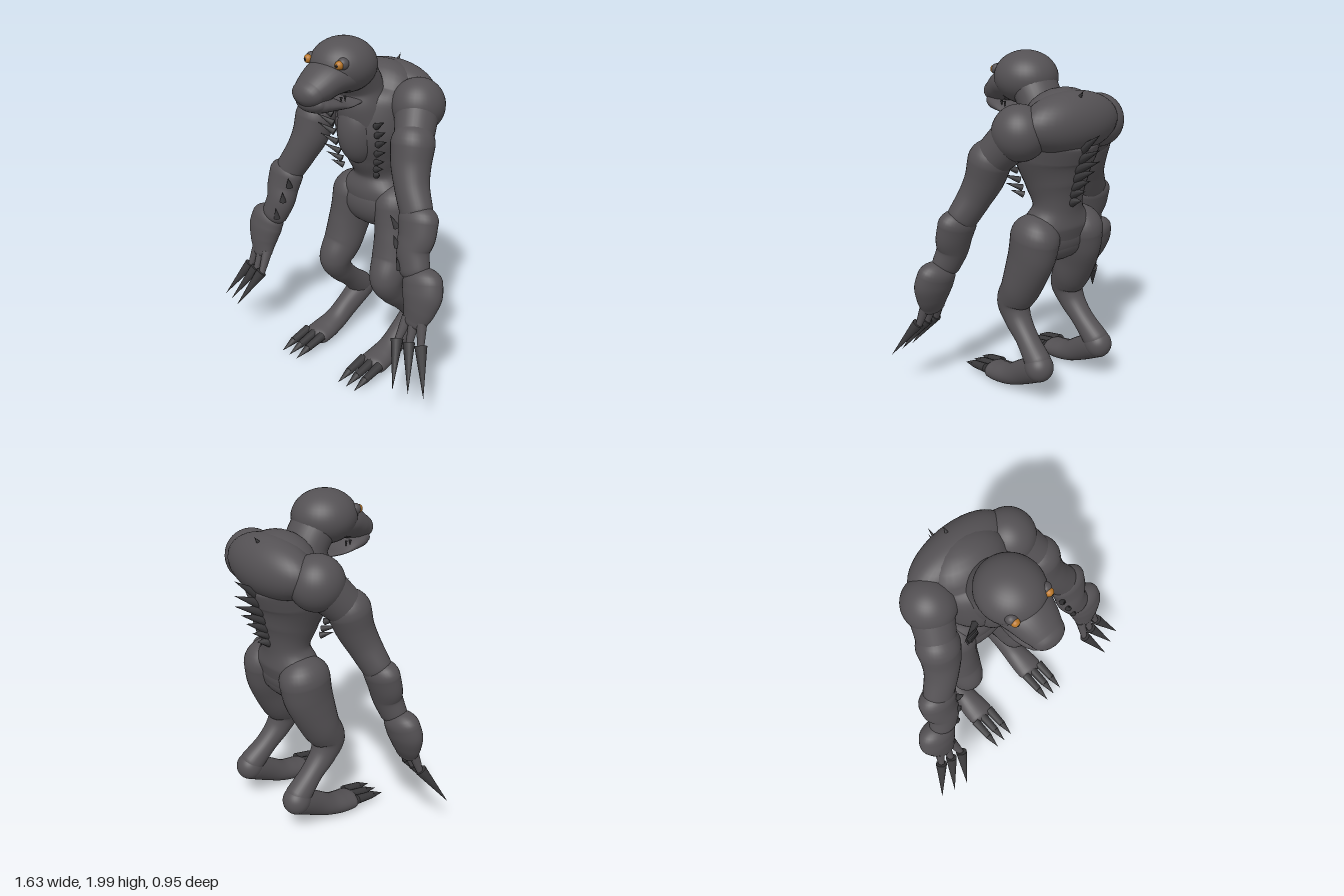
import * as THREE from 'three';

const mat = (name, color) => {
  const m = new THREE.MeshStandardMaterial({ color });
  m.name = name;
  return m;
};

// Smooth round-ended limb swept through stations [x, y, z, half width, half depth]
function limbGeometry(stations, steps = 8, sides = 32) {
  const path = new THREE.CatmullRomCurve3(stations.map(s => new THREE.Vector3(s[0], s[1], s[2])));
  const size = new THREE.CatmullRomCurve3(stations.map(s => new THREE.Vector3(s[3], s[4], 0)));
  const total = (stations.length - 1) * steps, capSteps = 7;
  const rings = [];
  const addRing = (t, shift, scale) => {
    const tan = path.getTangent(t);
    const r = size.getPoint(t);
    const p = path.getPoint(t).addScaledVector(tan, shift * Math.min(r.x, r.y));
    const n = new THREE.Vector3(1, 0, 0).addScaledVector(tan, -tan.x).normalize();
    rings.push({ p, n, b: tan.cross(n), rx: r.x * scale, ry: r.y * scale });
  };
  for (let k = 0; k < capSteps; k++) {
    const a = (k / capSteps) * Math.PI / 2;
    addRing(0, -Math.cos(a), Math.max(Math.sin(a), 0.001));
  }
  for (let i = 0; i <= total; i++) addRing(i / total, 0, 1);
  for (let k = capSteps - 1; k >= 0; k--) {
    const a = (k / capSteps) * Math.PI / 2;
    addRing(1, Math.cos(a), Math.max(Math.sin(a), 0.001));
  }
  const pos = [], index = [];
  rings.forEach((q, i) => {
    for (let j = 0; j < sides; j++) {
      const a = (j / sides) * Math.PI * 2;
      const v = q.p.clone().addScaledVector(q.n, q.rx * Math.cos(a)).addScaledVector(q.b, q.ry * Math.sin(a));
      pos.push(v.x, v.y, v.z);
      if (i === rings.length - 1) continue;
      const j2 = (j + 1) % sides;
      const A = i * sides + j, B = i * sides + j2;
      index.push(A, B, A + sides, B, B + sides, A + sides);
    }
  });
  const g = new THREE.BufferGeometry();
  g.setAttribute('position', new THREE.Float32BufferAttribute(pos, 3));
  g.setIndex(index);
  g.computeVertexNormals();
  return g;
}

export function createModel() {
  const root = new THREE.Group();
  root.name = 'creature';
  const skin = mat('charcoal skin', 0x545154);
  const horn = mat('dark horn', 0x3a393b);
  const amber = mat('amber eye', 0xb87628);
  const black = mat('black pupil', 0x1c1a1a);

  const add = (name, geometry, material, parent = root) => {
    const m = new THREE.Mesh(geometry, material);
    m.name = name;
    parent.add(m);
    return m;
  };
  const limb = (name, stations, parent) => add(name, limbGeometry(stations), skin, parent);
  const blob = (name, c, r, material = skin, parent = root) => {
    const m = add(name, new THREE.SphereGeometry(1, 36, 24), material, parent);
    m.position.set(...c);
    m.scale.set(...r);
    return m;
  };
  // Tapered bar from one point to another; r2 = 0 makes a spike
  const bar = (name, from, to, r1, r2, material = horn, parent = root) => {
    const a = new THREE.Vector3(...from), d = new THREE.Vector3(...to).sub(a);
    const m = add(name, new THREE.CylinderGeometry(r2, r1, d.length(), 10), material, parent);
    m.position.copy(a).addScaledVector(d, 0.5);
    m.quaternion.setFromUnitVectors(new THREE.Vector3(0, 1, 0), d.normalize());
    return m;
  };

  // Trunk
  limb('torso', [
    [0, 0.95, -0.125, 0.22, 0.12], [0, 1.05, -0.125, 0.235, 0.142], [0, 1.17, -0.135, 0.15, 0.13],
    [0, 1.3, -0.12, 0.18, 0.175], [0, 1.45, -0.11, 0.235, 0.22], [0, 1.58, -0.14, 0.25, 0.225],
    [0, 1.66, -0.17, 0.24, 0.17]]);
  blob('pelvis', [0, 0.985, -0.115], [0.26, 0.15, 0.137]);
  blob('upperBack', [0, 1.65, -0.235], [0.32, 0.17, 0.16]);
  blob('breastPlate', [0, 1.46, 0.02], [0.125, 0.2, 0.13]);
  limb('neck', [
    [0, 1.5, -0.06, 0.18, 0.18], [0, 1.62, -0.012, 0.155, 0.155],
    [0, 1.72, 0.015, 0.135, 0.118], [0, 1.82, 0.08, 0.14, 0.12]]);

  // Head
  blob('cranium', [0, 1.85, 0.145], [0.18, 0.15, 0.188]);
  limb('snout', [
    [0, 1.815, 0.18, 0.163, 0.1], [0, 1.8, 0.28, 0.14, 0.098],
    [0, 1.765, 0.36, 0.118, 0.086], [0, 1.745, 0.405, 0.1, 0.072]]);
  limb('lowerJaw', [
    [0, 1.65, 0.09, 0.09, 0.022], [0, 1.649, 0.2, 0.112, 0.019],
    [0, 1.672, 0.3, 0.122, 0.04], [0, 1.684, 0.37, 0.11, 0.05], [0, 1.692, 0.395, 0.098, 0.05]]);

  // Spine spikes [base y, tip y, tip z], shrinking down the back
  [[1.5, 1.62, -0.47], [1.45, 1.54, -0.475], [1.4, 1.48, -0.475], [1.35, 1.42, -0.44],
    [1.3, 1.36, -0.405], [1.26, 1.29, -0.365], [1.21, 1.23, -0.335]].forEach(([y, tipY, tipZ], i) => {
    bar('spineSpike', [0, y, -0.31 + i * 0.009], [0, tipY, tipZ], 0.033, 0);
  });
  bar('napeSpike', [0, 1.77, -0.29], [0, 1.83, -0.335], 0.018, 0);

  for (const s of [1, -1]) {
    const side = new THREE.Group();
    side.name = s > 0 ? 'leftSide' : 'rightSide';
    root.add(side);
    const X = pts => pts.map(p => [p[0] * s, ...p.slice(1)]);
    const spike = (name, from, to, r) => bar(name, [from[0] * s, from[1], from[2]], [to[0] * s, to[1], to[2]], r, 0, horn, side);

    // Eye
    blob('eyelid', [s * 0.113, 1.89, 0.268], [0.032, 0.032, 0.032], skin, side);
    blob('eye', [s * 0.112, 1.887, 0.294], [0.024, 0.024, 0.024], amber, side);
    blob('pupil', [s * 0.113, 1.887, 0.313], [0.01, 0.01, 0.007], black, side);

    // Fangs near the mouth corner
    for (let i = 0; i < 2; i++) {
      const z = 0.23 + i * 0.03;
      spike('fang', [0.09, 1.71, z], [0.09, 1.675, z], 0.008);
    }

    // Arm: each section swells at its top and tapers into the next
    blob('shoulder', [s * 0.28, 1.615, -0.15], [0.15, 0.153, 0.153], skin, side);
    limb('shoulderJoin', X([[0.29, 1.6, -0.13, 0.125, 0.125], [0.37, 1.45, 0, 0.105, 0.105]]), side);
    limb('upperArm', X([
      [0.368, 1.45, 0, 0.123, 0.12], [0.383, 1.35, 0.03, 0.114, 0.106],
      [0.425, 1.24, 0.07, 0.098, 0.092], [0.485, 1.13, 0.105, 0.095, 0.08]]), side);
    limb('forearm', X([
      [0.513, 1.09, 0.12, 0.12, 0.084], [0.523, 1.01, 0.142, 0.112, 0.081],
      [0.52, 0.93, 0.167, 0.098, 0.078], [0.55, 0.84, 0.19, 0.09, 0.07]]), side);
    limb('hand', X([
      [0.615, 0.785, 0.198, 0.12, 0.08], [0.626, 0.73, 0.212, 0.122, 0.08],
      [0.625, 0.64, 0.235, 0.1, 0.066], [0.615, 0.57, 0.255, 0.075, 0.045]]), side);

    // Three clawed fingers
    for (let i = 0; i < 3; i++) {
      const base = [0.555 + i * 0.07, 0.465, 0.33 - i * 0.015];
      bar('finger', [s * (0.57 + i * 0.047), 0.58, 0.26], [s * base[0], base[1] - 0.02, base[2]], 0.032, 0.018, skin, side);
      spike('fingerClaw', base, [0.645 + i * 0.085, 0.25, 0.472 - i * 0.025], 0.035);
    }

    // Forearm thorns
    spike('forearmThorn', [0.488, 0.83, 0.235], [0.476, 0.905, 0.255], 0.02);
    spike('forearmThorn', [0.45, 0.945, 0.215], [0.436, 1.015, 0.23], 0.02);
    spike('forearmThorn', [0.42, 1.04, 0.185], [0.396, 1.115, 0.215], 0.02);

    // Rib spikes [base x, base y, tip x, tip y]
    [[0.165, 1.52, 0.255, 1.57], [0.165, 1.465, 0.26, 1.515], [0.165, 1.41, 0.263, 1.46], [0.15, 1.35, 0.25, 1.395],
      [0.14, 1.295, 0.235, 1.335], [0.13, 1.25, 0.22, 1.285], [0.125, 1.21, 0.19, 1.24]].forEach(([x, y, tx, ty], i) => {
      spike('ribSpike', [x, y, 0.065 - i * 0.008], [tx, ty, 0.105 - i * 0.008], 0.02);
    });

    // Leg, from hip to heel
    limb('leg', X([
      [0.165, 1, -0.135, 0.131, 0.156], [0.175, 0.9, -0.12, 0.124, 0.152], [0.187, 0.8, -0.09, 0.119, 0.138],
      [0.197, 0.68, -0.045, 0.118, 0.118], [0.208, 0.57, 0.01, 0.1, 0.104],
      [0.213, 0.48, -0.028, 0.08, 0.08], [0.218, 0.38, -0.125, 0.068, 0.066],
      [0.228, 0.28, -0.235, 0.076, 0.078]]), side);
    blob('heel', [s * 0.232, 0.25, -0.25], [0.084, 0.086, 0.086], skin, side);
    limb('foot', X([
      [0.231, 0.235, -0.235, 0.08, 0.08], [0.232, 0.155, -0.1, 0.07, 0.075], [0.234, 0.1, 0, 0.075, 0.067],
      [0.236, 0.074, 0.09, 0.086, 0.062], [0.236, 0.064, 0.155, 0.09, 0.056]]), side);

    // Three toes, each a thick claw ending in a point
    for (let i = 0; i < 3; i++) {
      const x = 0.177 + i * 0.063;
      bar('toe', [s * x, 0.082, 0.18], [s * x, 0.056, 0.31], 0.029, 0.023, horn, side);
      spike('toeClaw', [x, 0.056, 0.31], [x, 0.028, 0.405], 0.023);
    }
  }
  return root;
}
